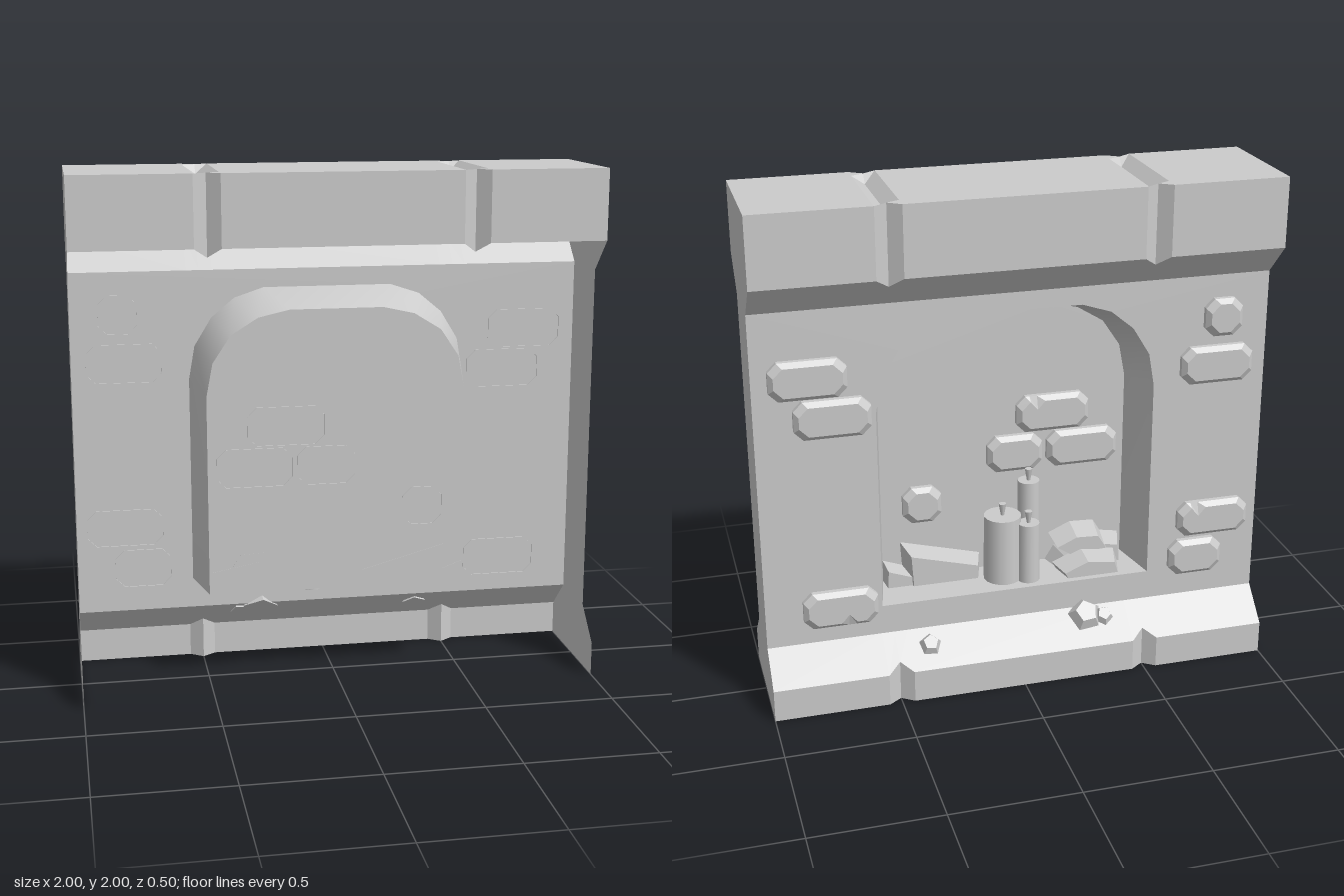
import * as THREE from 'three';
import { toCreasedNormals } from 'three/addons/utils/BufferGeometryUtils.js';
import { ConvexGeometry } from 'three/addons/geometries/ConvexGeometry.js';

const stoneMat = new THREE.MeshStandardMaterial({ color: 0xcccccc, side: THREE.DoubleSide });
const WALL = -0.125, PANEL = 0.09, FLOOR = 0.37;

// Flat-shaded skin through matching cross-sections; cap closes the last one towards -z
function loft(sections, closed = false, cap = false) {
  const pos = [];
  for (let i = 0; i < sections.length - 1; i++) {
    const s = sections[i], t = sections[i + 1], n = s.length;
    for (let j = 0; j < (closed ? n : n - 1); j++) {
      const k = (j + 1) % n;
      pos.push(...s[j], ...t[j], ...t[k], ...s[j], ...t[k], ...s[k]);
    }
  }
  if (cap) {
    const end = sections[sections.length - 1];
    const contour = end.map(([x, y]) => new THREE.Vector2(x, y));
    for (const [a, b, c] of THREE.ShapeUtils.triangulateShape(contour, [])) pos.push(...end[a], ...end[c], ...end[b]);
  }
  const geo = new THREE.BufferGeometry();
  geo.setAttribute('position', new THREE.Float32BufferAttribute(pos, 3));
  geo.computeVertexNormals();
  return geo;
}

const toShape = (pts) => new THREE.Shape(pts.map(([x, y]) => new THREE.Vector2(x, y)));
const mirrorLoop = (right) => [...right, ...right.map(([x, y]) => [-x, y]).reverse()];

// Moulding running along x, pinched to a V-groove at x = -0.5 and 0.5
function moulding(full, groove) {
  const at = (x, pts) => pts.map(([z, y]) => [x, y, z]);
  return loft([
    at(-1, full), at(-0.55, full), at(-0.5, groove), at(-0.45, full),
    at(0.45, full), at(0.5, groove), at(0.55, full), at(1, full),
  ]);
}

// Raised brick with cut corners and sloped rim; chip = [position along edge, side] dents the rim
function brick(x0, x1, y0, y1, z, chip) {
  const c = 0.035, inset = 0.018;
  const loop = (d, depth, dent) => {
    const [a, b, e, f] = [x0 + d, x1 - d, y0 + d, y1 - d];
    const chipPts = (side) => {
      if (!chip || chip[1] !== side) return [];
      const x = x0 + (x1 - x0) * chip[0], y = side > 0 ? f : e;
      return [[x - side * -0.03, y], [x, y - side * dent], [x - side * 0.03, y]];
    };
    return [
      [a + c, e], ...chipPts(-1), [b - c, e], [b, e + c], [b, f - c],
      [b - c, f], ...chipPts(1), [a + c, f], [a, f - c], [a, e + c],
    ].map(([x, y]) => [x, y, depth]);
  };
  return loft([loop(0, z + 0.005, 0), loop(0, z - 0.02, 0), loop(inset, z - 0.038, 0.035)], true, true);
}

// Broken stone: an outline with a smaller copy of it in front
function rubble(outline, zBack, zFront, shrink, lift = 0) {
  const n = outline.length;
  const cx = outline.reduce((s, p) => s + p[0], 0) / n;
  const cy = Math.min(...outline.map((p) => p[1]));
  const pts = [];
  for (const [x, y] of outline) {
    pts.push(new THREE.Vector3(x, y, zBack));
    pts.push(new THREE.Vector3(cx + (x - cx) * shrink, cy + (y - cy) * shrink + lift, zFront));
  }
  return new ConvexGeometry(pts);
}

export function createModel() {
  const model = new THREE.Group();
  const add = (name, geo, parent = model) => {
    const mesh = new THREE.Mesh(geo, stoneMat);
    mesh.name = name;
    parent.add(mesh);
    return mesh;
  };
  const group = (name) => {
    const g = new THREE.Group();
    g.name = name;
    model.add(g);
    return g;
  };

  // Cornice and plinth, open behind
  add('cornice', moulding(
    [[0.25, 1.73], [0.25, 2], [0.19, 2], [-0.19, 2], [-0.25, 2], [-0.25, 1.73], [WALL, 1.605]],
    [[0.215, 1.695], [0.215, 2], [0.19, 1.965], [-0.19, 1.965], [-0.215, 2], [-0.215, 1.695], [WALL, 1.605]]));
  add('plinth', moulding(
    [[WALL, 0.25], [-0.25, 0.13], [-0.25, 0]],
    [[WALL, 0.25], [-0.215, 0.164], [-0.215, 0]]));

  // End walls
  const profile = toShape(mirrorLoop([[0.25, 0], [0.25, 0.13], [0.125, 0.25], [0.125, 1.605], [0.25, 1.73], [0.25, 2]]));
  for (const s of [-1, 1]) {
    add(s > 0 ? 'leftEnd' : 'rightEnd', new THREE.ShapeGeometry(profile).rotateY(s * Math.PI / 2).translate(s, 0, 0));
  }

  // Wall with the arched niche sunk into it
  const opening = mirrorLoop([[0.545, FLOOR], [0.545, 1.18], [0.522, 1.31], [0.455, 1.42], [0.365, 1.495], [0.25, 1.533]]);
  const inner = mirrorLoop([[0.5, FLOOR], [0.5, 1.15], [0.475, 1.28], [0.405, 1.385], [0.3, 1.45], [0.18, 1.477]]);
  const wall = toShape([[-1, 0.25], [1, 0.25], [1, 1.605], [-1, 1.605]]);
  wall.holes.push(toShape(opening));
  add('wall', new THREE.ShapeGeometry(wall).rotateY(Math.PI).translate(0, 0, WALL));
  const atZ = (pts, z) => pts.map(([x, y]) => [x, y, z]);
  add('niche', toCreasedNormals(loft([atZ(opening, WALL), atZ(inner, PANEL)], true, true), 0.75));

  // Raised bricks
  const bricks = group('bricks');
  for (const b of [
    [-0.89, -0.74, 1.365, 1.515, WALL], [-0.94, -0.65, 1.175, 1.325, WALL],
    [0.65, 0.94, 1.27, 1.42, WALL], [0.565, 0.855, 1.11, 1.26, WALL],
    [-0.955, -0.66, 0.52, 0.665, WALL, [0.72, 1]], [-0.85, -0.63, 0.35, 0.5, WALL],
    [0.565, 0.855, 0.32, 0.47, WALL, [0.4, -1]],
    [-0.345, -0.05, 0.955, 1.105, PANEL, [0.72, 1]], [-0.465, -0.175, 0.795, 0.945, PANEL],
    [-0.155, 0.07, 0.795, 0.945, PANEL], [0.26, 0.415, 0.615, 0.765, PANEL],
  ]) add('brick', brick(...b), bricks);

  // Candles with wicks
  const candles = group('candles');
  for (const [x, z, r, top] of [[0.03, -0.01, 0.077, 0.645], [-0.065, -0.054, 0.045, 0.62], [-0.09, 0.035, 0.045, 0.763]]) {
    const h = top - FLOOR + 0.008;
    add('candle', new THREE.CylinderGeometry(r * 0.97, r, h, 16).translate(x, top - h / 2, z), candles);
    add('wick', new THREE.CylinderGeometry(0.016, 0.007, 0.05, 6).translate(x, top + 0.024, z), candles);
  }

  // Rubble on the niche floor
  const heap = group('nicheRubble');
  add('stone', rubble([[0.1, 0.365], [0.42, 0.365], [0.43, 0.53], [0.1, 0.44]], 0.098, 0.0, 0.82), heap);
  add('stone', rubble([[0.37, 0.365], [0.505, 0.365], [0.5, 0.455], [0.38, 0.41]], 0.094, 0.01, 0.85), heap);
  add('stone', rubble([[-0.5, 0.365], [-0.17, 0.365], [-0.21, 0.43], [-0.3, 0.495], [-0.49, 0.46]], 0.098, 0.0, 0.8), heap);
  add('stone', rubble([[-0.42, 0.46], [-0.25, 0.45], [-0.19, 0.49], [-0.28, 0.53], [-0.38, 0.525]], 0.094, -0.01, 0.9, -0.02), heap);
  add('stone', rubble([[-0.46, 0.365], [-0.2, 0.365], [-0.18, 0.4], [-0.3, 0.45], [-0.44, 0.43]], 0.0, -0.1, 0.8), heap);

  // Small broken stones lying on the plinth slope
  const scatter = group('plinthRubble');
  for (const [x, y, z, r, turn] of [[-0.275, 0.225, -0.155, 0.075, 0.2], [-0.35, 0.215, -0.165, 0.045, 0.9], [0.37, 0.2, -0.18, 0.05, 0.4]]) {
    const outline = [0, 1, 2, 3, 4].map((i) => {
      const a = turn + i * Math.PI * 0.4;
      return [r * Math.cos(a), r * Math.sin(a)];
    });
    const pts = outline.flatMap(([u, v]) => [
      new THREE.Vector3(u, -0.01, v), new THREE.Vector3(u * 0.6, r * 0.5, v * 0.6 + 0.005)]);
    const stone = add('stone', new ConvexGeometry(pts), scatter);
    stone.position.set(x, y, z);
    stone.rotation.x = -0.78;
  }
  return model;
}
